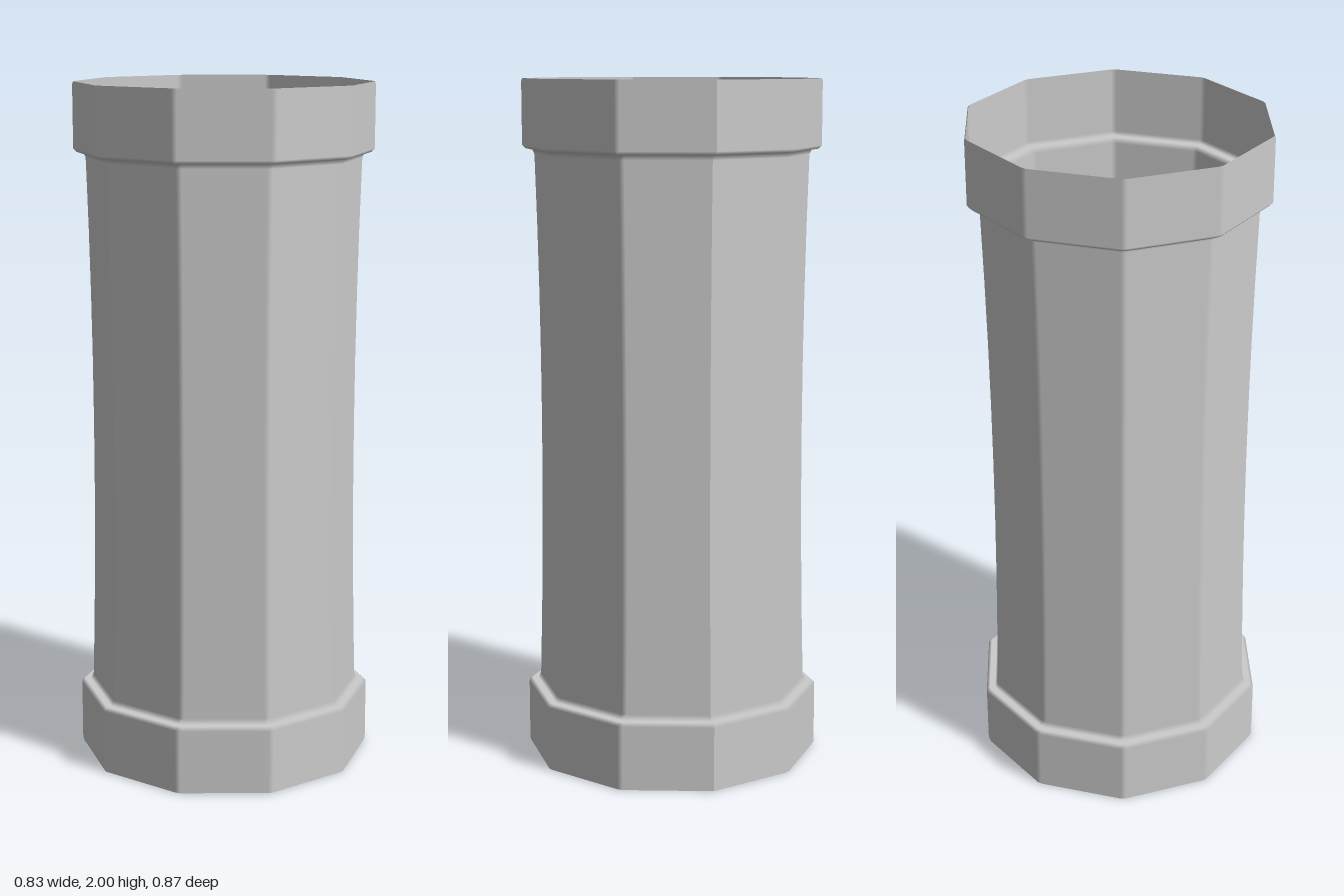
import * as THREE from 'three';

const SIDES = 10;
const HALF = Math.PI / SIDES;

// Sweeps a profile of [radius, y, normalOut, normalUp] round a ten-sided ring.
// Vertical corners are slightly chamfered, except the front and back ones.
function band(name, profile, material) {
  const pos = [], nor = [], index = [];
  const cols = SIDES * 2;
  for (const [r, y, nr, ny] of profile) {
    for (let k = 0; k < SIDES; k++) {
      const a = (2 * k + 1) * HALF, s = Math.sin(a), c = Math.cos(a);
      for (const end of [-1, 1]) {
        const corner = end < 0 ? k : k + 1;
        const cut = corner % (SIDES / 2) === 0 ? 0 : 0.008;
        const d = r * Math.cos(HALF), t = end * (r * Math.sin(HALF) - cut);
        pos.push(s * d + c * t, y, c * d - s * t);
        nor.push(s * nr, ny, c * nr);
      }
    }
  }
  for (let i = 0; i < profile.length - 1; i++) {
    for (let j = 0; j < cols; j++) {
      // no chamfer strip at the front and back corners
      if (j % cols === cols - 1 || j === cols / 2 - 1) continue;
      const a = i * cols + j, b = i * cols + (j + 1) % cols;
      index.push(a, b, b + cols, a, b + cols, a + cols);
    }
  }
  const geometry = new THREE.BufferGeometry();
  geometry.setAttribute('position', new THREE.Float32BufferAttribute(pos, 3));
  geometry.setAttribute('normal', new THREE.Float32BufferAttribute(nor, 3));
  geometry.setIndex(index);
  const mesh = new THREE.Mesh(geometry, material);
  mesh.name = name;
  return mesh;
}

export function createModel() {
  const group = new THREE.Group();
  group.name = 'pipe';
  const material = new THREE.MeshStandardMaterial({ color: 0xcccccc, side: THREE.DoubleSide });

  // Main tube, gently narrowed at the waist
  const tube = [];
  for (let i = -4; i <= 4; i++) {
    const t = i / 4;
    tube.push([0.388 + 0.012 * t * t, 1 + 0.77 * t, 1, 0]);
  }
  group.add(band('tube', tube, material));

  // Wide open collars, each joined to the tube by a flared step
  const upper = [
    [0.4, 1.77, 1, 0],
    [0.401, 1.785, 1, 0],
    [0.408, 1.8, 0, -1],
    [0.426, 1.8, 0, -1],
    [0.436, 1.81, 1, 0],
    [0.436, 1.992, 1, 0],
    [0.433, 2, 1, 0],
  ];
  const lower = upper.map(([r, y, nr, ny]) => [r, 2 - y, nr, -ny]).reverse();
  group.add(band('upperCollar', upper, material));
  group.add(band('lowerCollar', lower, material));
  return group;
}
